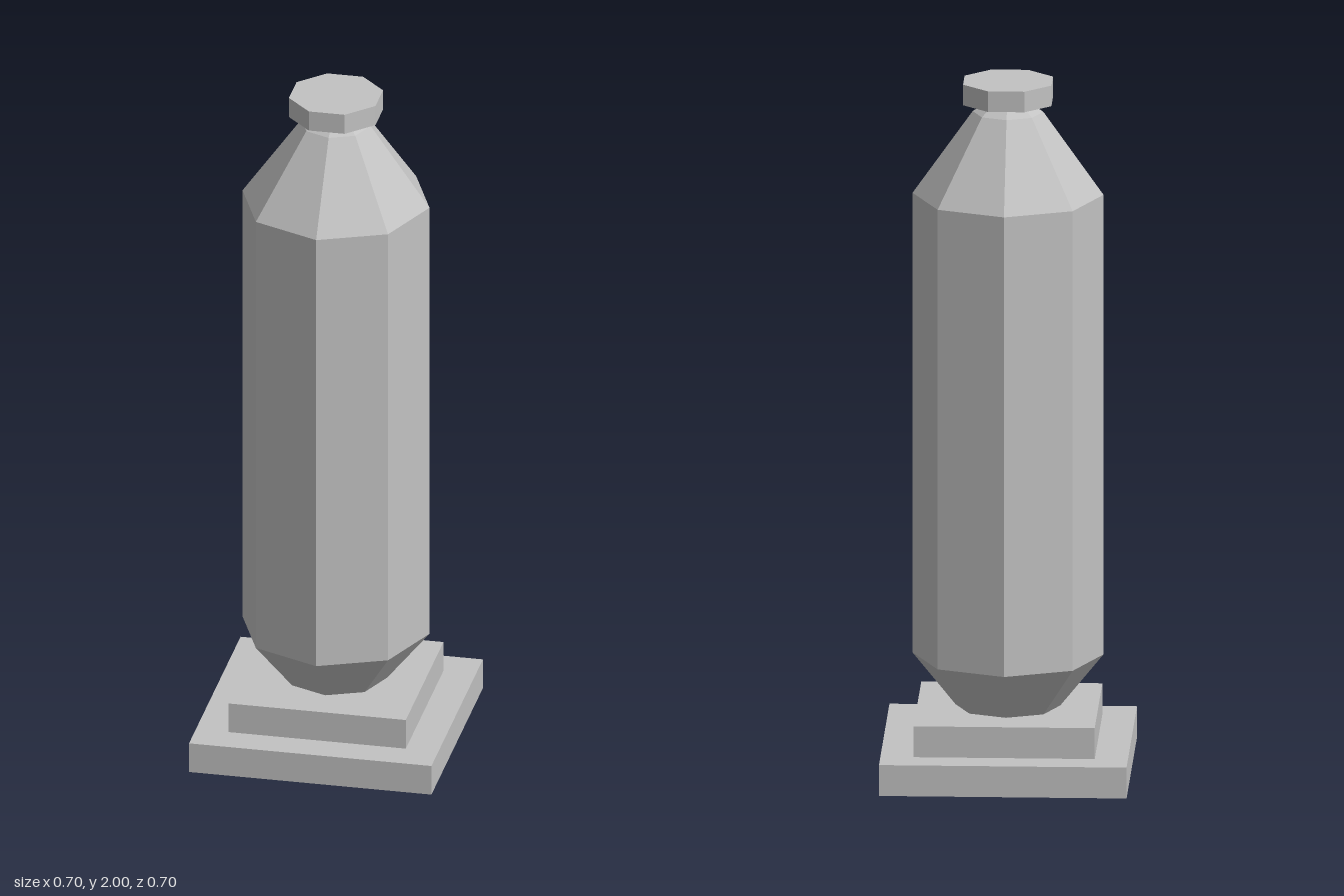
import * as THREE from 'three';

export function createModel() {
  const model = new THREE.Group();
  const stone = new THREE.MeshStandardMaterial({ color: 0xc2c2c2, flatShading: true });
  stone.name = 'grey stone';

  const add = (name, geometry, y) => {
    const mesh = new THREE.Mesh(geometry, stone);
    mesh.name = name;
    mesh.position.y = y;
    model.add(mesh);
    return mesh;
  };

  // Two square steps
  add('lowerStep', new THREE.BoxGeometry(0.7, 0.09, 0.7), 0.045);
  add('upperStep', new THREE.BoxGeometry(0.512, 0.09, 0.512), 0.135);

  // Eight-sided shaft with a tapered foot, sloping shoulder and short neck
  const profile = [
    [0, 0.18], [0.148, 0.18], [0.27, 0.33], [0.27, 1.67],
    [0.1, 1.91], [0.05, 1.945], [0, 1.945],
  ].map(([r, y]) => new THREE.Vector2(r, y));
  add('shaft', new THREE.LatheGeometry(profile, 8), 0);

  // Octagonal cap, turned so its flats face the axes
  const capRadius = 0.125 / Math.cos(Math.PI / 8);
  const cap = add('cap', new THREE.CylinderGeometry(capRadius, capRadius, 0.06, 8), 1.97);
  cap.rotation.y = Math.PI / 8;

  return model;
}
